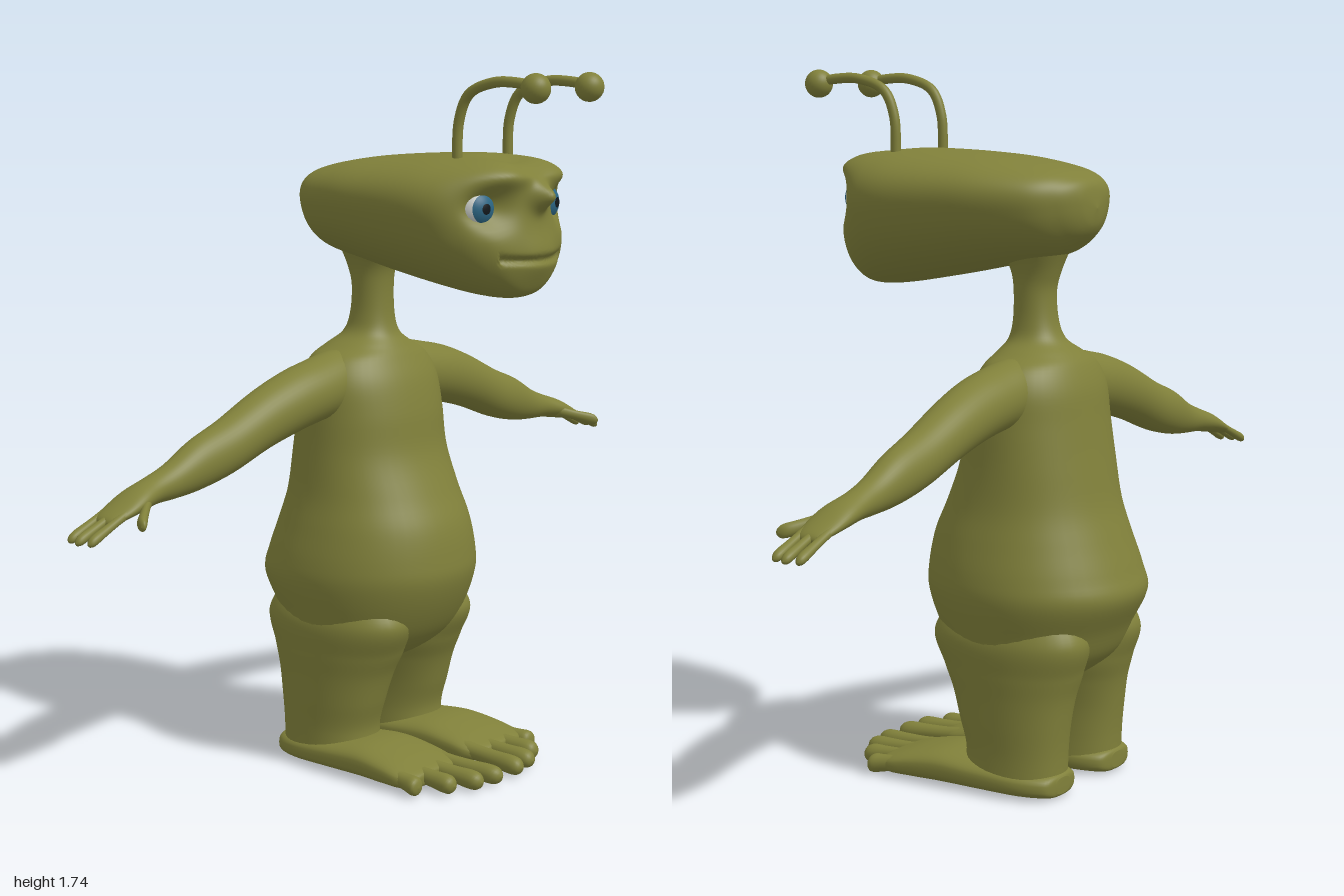
import * as THREE from 'three';

const skin = new THREE.MeshStandardMaterial({ color: 0x80803a });
const white = new THREE.MeshStandardMaterial({ color: 0xc9ccc6 });
const blue = new THREE.MeshStandardMaterial({ color: 0x2c6684 });
const black = new THREE.MeshStandardMaterial({ color: 0x12181c });
skin.name = 'olive skin'; white.name = 'eye white'; blue.name = 'iris blue'; black.name = 'pupil black';

const power = (v, n) => Math.sign(v) * Math.abs(v) ** (2 / n);
const gauss = (d, s) => Math.exp(-((d / s) ** 2));

// Smooth interpolation of rows of numbers, t in 0..1
function sample(keys, t) {
  const f = t * (keys.length - 1), i = Math.min(Math.floor(f), keys.length - 2), u = f - i;
  const at = j => keys[Math.max(0, Math.min(keys.length - 1, j))];
  return keys[0].map((_, c) => {
    const [a, b, d, e] = [at(i - 1)[c], at(i)[c], at(i + 1)[c], at(i + 2)[c]];
    return b + 0.5 * u * (d - a + u * (2 * a - 5 * b + 4 * d - e + u * (3 * (b - d) + e - a)));
  });
}

// Superellipse sections along an axis; key = [position, aMin, aMax, bMin, bMax]
// a, b are the remaining axes in x, y, z order
function loft(name, axis, keys, { n = 2, steps = 60, segs = 40, warp, side = 1 } = {}) {
  const pos = [], idx = [], v = new THREE.Vector3();
  for (let i = 0; i <= steps; i++) {
    const [p, a0, a1, b0, b1] = sample(keys, i / steps);
    for (let j = 0; j < segs; j++) {
      const q = (j / segs) * Math.PI * 2;
      const a = (a0 + a1) / 2 + (a1 - a0) / 2 * power(Math.cos(q), n);
      const b = (b0 + b1) / 2 + (b1 - b0) / 2 * power(Math.sin(q), n);
      if (axis === 'x') v.set(p, a, b);
      else if (axis === 'y') v.set(a, p, b);
      else v.set(a, b, p);
      if (warp) warp(v, (b0 + b1) / 2, (b1 - b0) / 2);
      pos.push(v.x * side, v.y, v.z);
      if (i < steps) {
        const A = i * segs + j, B = i * segs + (j + 1) % segs;
        idx.push(A, B, B + segs, A, B + segs, A + segs);
      }
    }
  }
  // End caps
  for (let j = 1; j < segs - 1; j++) {
    const e = steps * segs;
    idx.push(0, j + 1, j, e, e + j, e + j + 1);
  }
  // Turn all faces outward
  const [A, B, C] = [0, 0, 0].map(() => new THREE.Vector3());
  let volume = 0;
  for (let i = 0; i < idx.length; i += 3) {
    A.fromArray(pos, idx[i] * 3); B.fromArray(pos, idx[i + 1] * 3); C.fromArray(pos, idx[i + 2] * 3);
    volume += A.dot(B.cross(C));
  }
  if (volume < 0) idx.reverse();
  const g = new THREE.BufferGeometry();
  g.setAttribute('position', new THREE.Float32BufferAttribute(pos, 3));
  g.setIndex(idx);
  g.computeVertexNormals();
  const m = new THREE.Mesh(g, skin);
  m.name = name;
  return m;
}

// Face relief: tapered jaw, sockets, brows, nose, muzzle and mouth
function face(v, mid, half) {
  const t = half > 0.001 ? (v.y - mid) / half : 0;
  v.x *= 1 + 0.2 * t;
  const x = Math.abs(v.x), y = v.y;
  const f = THREE.MathUtils.smoothstep(v.z, 0.17, 0.27);
  if (f === 0) return;
  let dz = -0.05 * gauss(x - 0.137, 0.055) * gauss(y - 1.43, 0.045);
  dz += 0.022 * gauss(x - 0.1, 0.08) * gauss(y - 1.505, 0.03);
  dz += 0.05 * gauss(x, 0.03) * gauss(y - 1.455, 0.03);
  dz += 0.022 * gauss(x, 0.1) * gauss(y - 1.31, 0.06);
  if (x < 0.12) dz -= 0.014 * gauss(y - 1.305 - 0.4 * x * x, 0.009);
  v.z += dz * f;
  v.y -= 0.018 * f * gauss(x, 0.06) * THREE.MathUtils.smoothstep(y, 1.49, 1.54);
}

// Slim finger or toe with a rounded tip, following the given axis
function digit(name, axis, from, to, r, side) {
  const keys = [[0, 1], [0.3, 0.85], [0.6, 0.9], [0.85, 1], [0.96, 0.7], [1, 0.02]].map(([t, k]) => {
    const p = from.map((c, i) => c + (to[i] - c) * t), s = r * k;
    const o = axis === 'x' ? [1, 2] : [0, 1];
    return [p[axis === 'x' ? 0 : 2], p[o[0]] - s, p[o[0]] + s, p[o[1]] - s, p[o[1]] + s];
  });
  return loft(name, axis, keys, { steps: 18, segs: 14, side });
}

function ball(name, mat, r, cap = Math.PI) {
  const g = new THREE.SphereGeometry(r, 28, 18, 0, Math.PI * 2, 0, cap);
  g.rotateX(Math.PI / 2);
  const m = new THREE.Mesh(g, mat);
  m.name = name;
  return m;
}

export function createModel() {
  const model = new THREE.Group();
  model.name = 'alien';

  // Torso and neck, upward
  model.add(loft('torso', 'y', [
    [0.25, 0.02, -0.25, -0.12], [0.28, 0.12, -0.31, -0.05], [0.33, 0.215, -0.37, 0.015], [0.4, 0.24, -0.405, 0.06],
    [0.48, 0.258, -0.445, 0.09], [0.54, 0.255, -0.43, 0.09], [0.62, 0.238, -0.4, 0.075], [0.7, 0.22, -0.372, 0.04],
    [0.8, 0.21, -0.352, 0], [0.9, 0.205, -0.335, -0.015], [0.98, 0.2, -0.322, -0.035], [1.035, 0.17, -0.3, -0.062],
    [1.065, 0.115, -0.275, -0.082], [1.095, 0.07, -0.24, -0.102], [1.14, 0.055, -0.222, -0.112],
    [1.21, 0.051, -0.217, -0.113], [1.26, 0.056, -0.23, -0.105], [1.31, 0.075, -0.25, -0.08],
  ].map(([y, w, b, f]) => [y, -w, w, b, f]), { n: 2.15, steps: 90, segs: 48 }));

  // Long flat-topped head, back to front
  model.add(loft('head', 'z', [
    [-0.34, 0, 1.415, 1.416], [-0.33, 0.06, 1.37, 1.47], [-0.3, 0.115, 1.335, 1.495], [-0.24, 0.17, 1.3, 1.515],
    [-0.12, 0.215, 1.275, 1.535], [0, 0.235, 1.25, 1.545], [0.12, 0.242, 1.228, 1.55], [0.2, 0.23, 1.215, 1.55],
    [0.26, 0.2, 1.21, 1.548], [0.3, 0.165, 1.215, 1.54], [0.325, 0.125, 1.235, 1.52], [0.34, 0.07, 1.3, 1.48],
    [0.345, 0, 1.39, 1.391],
  ].map(([z, w, b, t]) => [z, -w, w, b, t]), { n: 2.4, steps: 156, segs: 112, warp: face }));

  for (const side of [1, -1]) {
    const s = side > 0 ? 'left' : 'right';

    // Eyes, turned slightly outward
    const eye = new THREE.Group();
    eye.name = s + 'Eye';
    eye.add(ball('eyeWhite', white, 0.05), ball('iris', blue, 0.0507, 0.72), ball('pupil', black, 0.0513, 0.25));
    eye.position.set(side * 0.132, 1.43, 0.25);
    eye.rotation.y = side * 0.2;
    model.add(eye);

    // Antenna stalk and knob
    const path = new THREE.CatmullRomCurve3([[0.1, 1.52, 0.18], [0.1, 1.63, 0.185], [0.101, 1.692, 0.215],
      [0.104, 1.72, 0.29], [0.106, 1.72, 0.36], [0.107, 1.712, 0.41]].map(([x, y, z]) => new THREE.Vector3(x * side, y, z)));
    const stalk = new THREE.Mesh(new THREE.TubeGeometry(path, 32, 0.0125, 12), skin);
    stalk.name = s + 'AntennaStalk';
    const knob = ball(s + 'AntennaKnob', skin, 0.035);
    knob.position.set(side * 0.108, 1.708, 0.412);
    model.add(stalk, knob);

    // Arm and palm, outward
    model.add(loft(s + 'Arm', 'x', [
      [0.05, 0.93, 1.05, -0.23, -0.12], [0.13, 0.9, 1.058, -0.255, -0.105], [0.22, 0.888, 1.043, -0.255, -0.103],
      [0.3, 0.872, 1.025, -0.252, -0.108], [0.4, 0.845, 0.99, -0.25, -0.118], [0.52, 0.803, 0.937, -0.245, -0.128],
      [0.62, 0.78, 0.9, -0.238, -0.14], [0.7, 0.772, 0.858, -0.23, -0.15], [0.76, 0.769, 0.835, -0.23, -0.153],
      [0.82, 0.76, 0.815, -0.235, -0.142], [0.87, 0.752, 0.79, -0.232, -0.142], [0.91, 0.745, 0.768, -0.22, -0.155],
      [0.92, 0.752, 0.754, -0.19, -0.18],
    ], { side }));

    // Three fingers and a forward thumb
    for (let i = 0; i < 3; i++) {
      const z = -0.217 + 0.03 * i;
      model.add(digit(s + 'Finger', 'x', [0.86, 0.776, z], [i === 1 ? 1 : 0.992, 0.72, z - 0.002 + 0.002 * i], 0.0125, side));
    }
    model.add(digit(s + 'Thumb', 'x', [0.8, 0.785, -0.165], [0.895, 0.752, -0.088], 0.016, side));

    // Leg, downward
    model.add(loft(s + 'Leg', 'y', [
      [0.46, 0.04, 0.2, -0.34, -0.02], [0.38, 0.008, 0.235, -0.385, 0.03], [0.3, 0.002, 0.234, -0.365, 0.0],
      [0.24, 0.014, 0.23, -0.348, -0.028], [0.17, 0.026, 0.227, -0.337, -0.05], [0.1, 0.03, 0.224, -0.33, -0.07],
      [0.03, 0.028, 0.226, -0.328, -0.065],
    ], { n: 2.3, side }));

    // Flat foot, heel to toes
    model.add(loft(s + 'Foot', 'z', [
      [-0.335, 0.1, 0.16, 0.01, 0.05], [-0.32, 0.058, 0.198, 0.002, 0.06], [-0.25, 0.032, 0.228, 0, 0.068],
      [-0.13, 0.024, 0.238, 0, 0.078], [-0.03, 0.022, 0.243, 0, 0.085], [0.05, 0.022, 0.248, 0, 0.074],
      [0.11, 0.026, 0.248, 0.002, 0.058], [0.145, 0.05, 0.225, 0.01, 0.045], [0.15, 0.1, 0.17, 0.022, 0.03],
    ], { n: 2.8, side }));
    for (let i = 0; i < 4; i++) {
      model.add(digit(s + 'Toe', 'z', [0.055 + 0.055 * i, 0.036, 0.07], [0.043 + 0.064 * i, 0.024, 0.28 - 0.012 * i * i], 0.024, side));
    }
  }
  return model;
}
